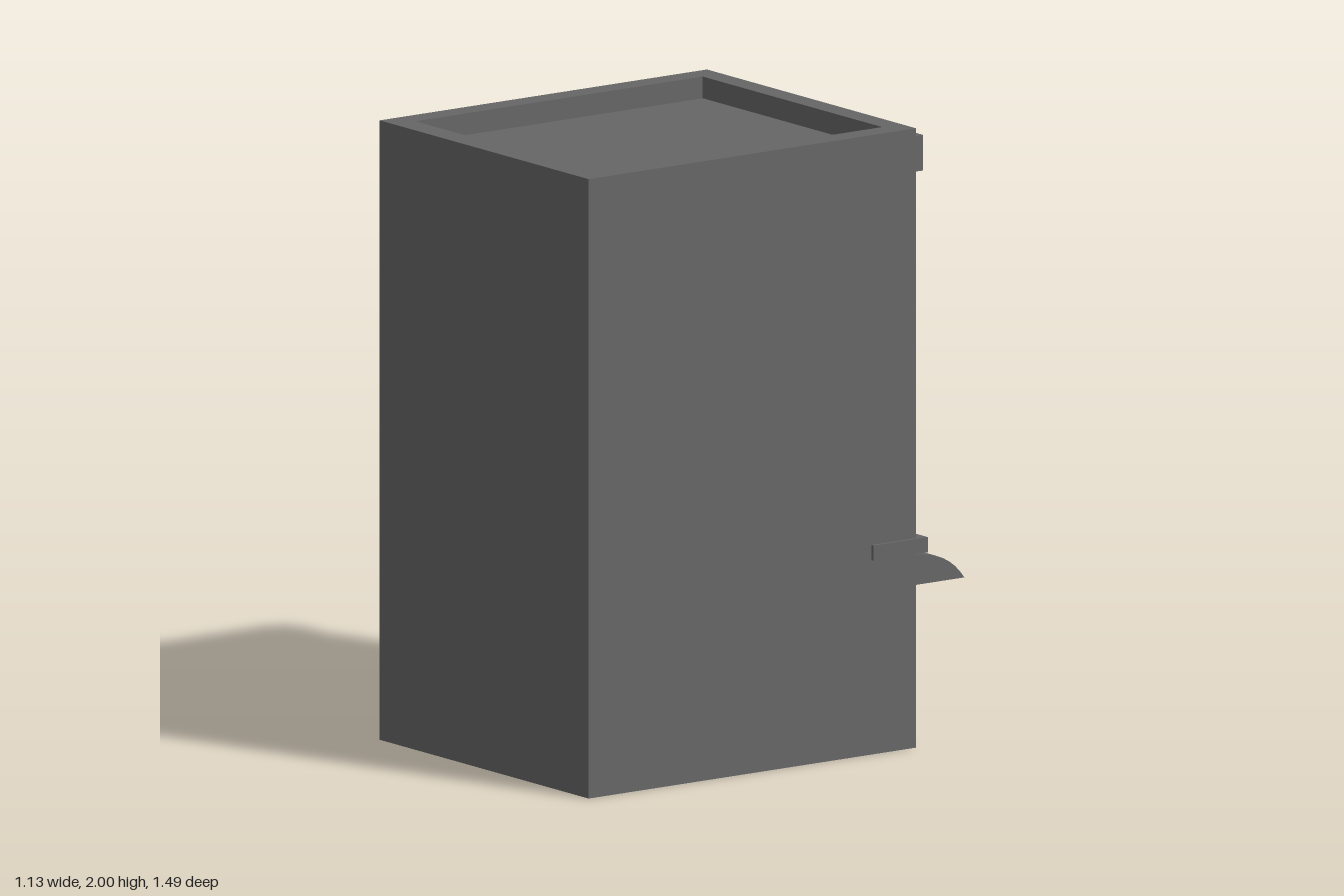
import * as THREE from 'three';
import { toCreasedNormals } from 'three/addons/utils/BufferGeometryUtils.js';

const W = 0.553;         // half width of the building
const FRONT = 0.745;     // plain wall
const FACADE = -0.543;   // street facade
const RECESS = 0.022;    // depth of window and door reveals
const ROOF = 1.93;       // roof deck height
const TOP = 2, BOTTOM = 3, INNER = 4, OUTER = 5;   // box faces: +y, -y, +z, -z

export function createModel() {
  const model = new THREE.Group();
  const mat = new THREE.MeshStandardMaterial({ color: 0x666666, side: THREE.DoubleSide });

  const add = (name, geometry) => {
    const mesh = new THREE.Mesh(geometry, mat);
    mesh.name = name;
    model.add(mesh);
    return mesh;
  };
  // Box given by its minimum and maximum on each axis, with some faces left open
  const box = (name, x0, x1, y0, y1, z0, z1, open = []) => {
    const geometry = new THREE.BoxGeometry(x1 - x0, y1 - y0, z1 - z0);
    const index = Array.from(geometry.index.array);
    geometry.setIndex(index.filter((_, i) => !open.includes(Math.floor(i / 6))));
    geometry.clearGroups();
    add(name, geometry).position.set((x0 + x1) / 2, (y0 + y1) / 2, (z0 + z1) / 2);
  };
  const outline = (points, Type = THREE.Shape) =>
    new Type(points.map(([x, y]) => new THREE.Vector2(x, y)));
  const rect = (x0, x1, y0, y1, Type) =>
    outline([[x0, y0], [x1, y0], [x1, y1], [x0, y1]], Type);

  // Side and front walls, open underneath
  box('walls', -W, W, 0, 2, FACADE, FRONT, [TOP, BOTTOM, OUTER]);

  // Facade, notched for the door and pierced for the windows
  const facade = outline([
    [-W, 0], [-0.44, 0], [-0.44, 0.447], [-0.2, 0.447], [-0.2, 0],
    [W, 0], [W, 2], [-W, 2],
  ]);
  const recess = (name, x0, x1, y0, y1, open) =>
    box(name, x0, x1, y0, y1, FACADE, FACADE + RECESS, open);
  const addWindow = (name, x0, x1, y0, y1) => {
    facade.holes.push(rect(x0, x1, y0, y1, THREE.Path));
    recess(name, x0, x1, y0, y1, [OUTER]);
  };
  // Trim strip standing proud of the facade
  const trim = (name, x0, x1, y0, y1, depth) =>
    box(name, x0, x1, y0, y1, FACADE - depth, FACADE, [INNER]);

  recess('door', -0.44, -0.2, 0, 0.447, [OUTER, BOTTOM]);
  addWindow('shopWindow', -0.065, 0.413, 0.105, 0.447);
  for (const y of [0.74, 1.315]) {
    for (const x of [-0.227, 0.227]) {
      addWindow('upperWindow', x - 0.13, x + 0.13, y, y + 0.38);
      trim('windowSill', x - 0.155, x + 0.155, y - 0.04, y, 0.011);
      trim('windowLintel', x - 0.155, x + 0.155, y + 0.38, y + 0.42, 0.011);
    }
  }
  add('facade', new THREE.ShapeGeometry(facade)).position.z = FACADE;

  // Parapet rim and the sunken roof inside it
  const rim = rect(-W, W, -FRONT, -FACADE);
  rim.holes.push(rect(-0.475, 0.475, -0.662, 0.468, THREE.Path));
  const parapet = add('parapetRim', new THREE.ShapeGeometry(rim));
  parapet.rotation.x = -Math.PI / 2;
  parapet.position.y = 2;
  box('roofDeck', -0.475, 0.475, ROOF, 2, -0.468, 0.662, [TOP]);

  // Cornice and the ledge that wraps round the corners
  trim('cornice', -W, W, 1.86, 1.975, 0.028);
  box('ledge', -0.566, 0.566, 0.628, 0.677, -0.581, -0.367);

  // Curved awning: profile in (outward, up), extruded across the facade
  const profile = new THREE.Shape();
  profile.moveTo(0, 0.522);
  profile.lineTo(0.2, 0.522);
  profile.quadraticCurveTo(0.135, 0.617, 0, 0.621);
  profile.closePath();
  const awningGeometry = new THREE.ExtrudeGeometry(profile, {
    depth: 1.08, bevelEnabled: false, curveSegments: 8,
  });
  const awning = add('awning', toCreasedNormals(awningGeometry, 0.5));
  awning.rotation.y = Math.PI / 2;
  awning.position.set(-0.54, 0, FACADE);

  return model;
}
